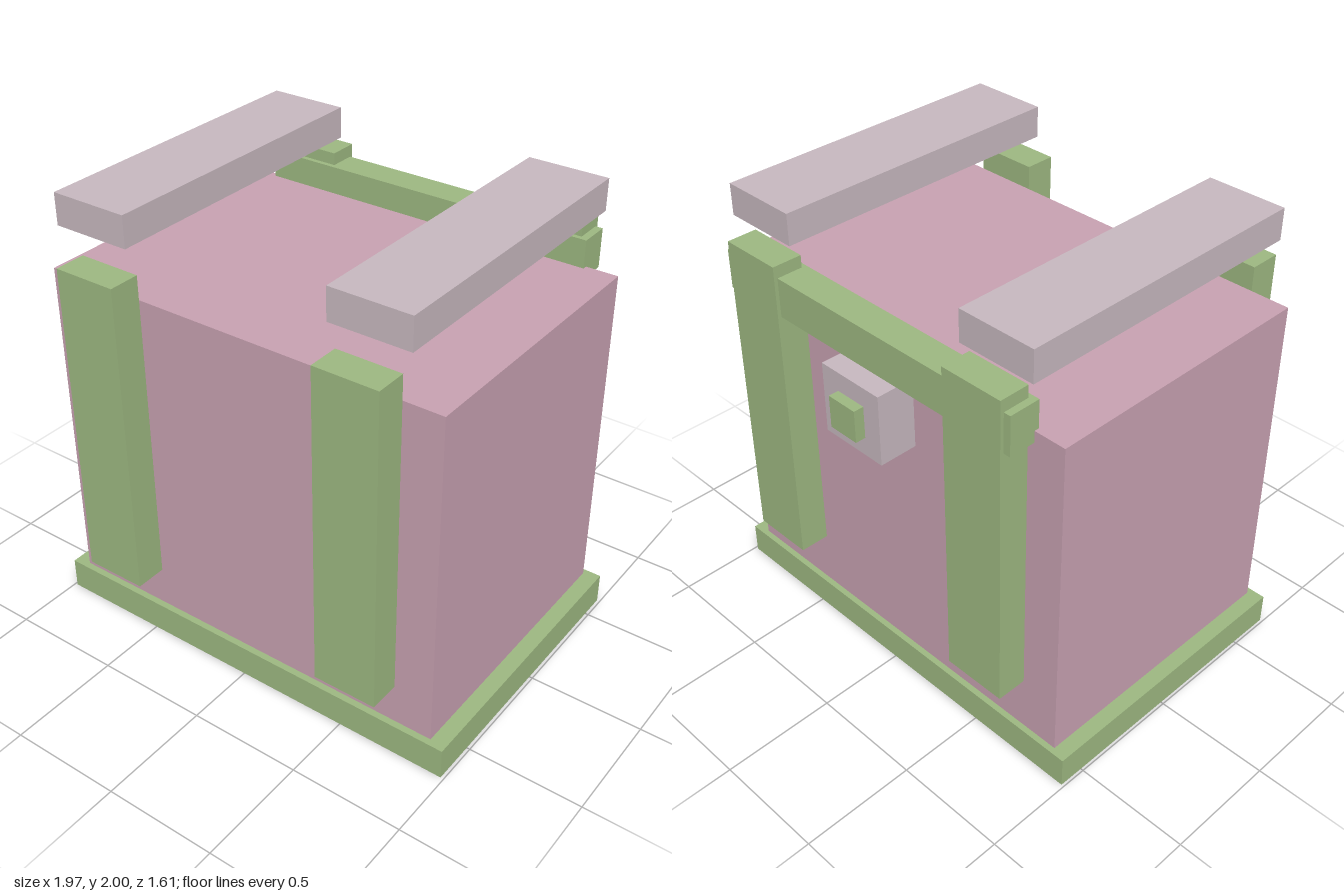
import * as THREE from 'three';

const material = (name, color) => {
  const m = new THREE.MeshStandardMaterial({ color });
  m.name = name;
  return m;
};

export function createModel() {
  const pink = material('dusty pink', 0xc9a2b2);
  const green = material('sage green', 0x9eb982);
  const grey = material('pale mauve grey', 0xc8b9c0);
  const model = new THREE.Group();
  model.name = 'backpack';

  // Box given by its [min, max] extent on each axis
  const block = (name, mat, [x0, x1], [y0, y1], [z0, z1]) => {
    const mesh = new THREE.Mesh(new THREE.BoxGeometry(x1 - x0, y1 - y0, z1 - z0), mat);
    mesh.position.set((x0 + x1) / 2, (y0 + y1) / 2, (z0 + z1) / 2);
    mesh.name = name;
    model.add(mesh);
  };

  // Main bag on its base
  block('base', green, [-0.988, 0.986], [0, 0.14], [-0.613, 0.693]);
  block('body', pink, [-0.92, 0.915], [0.14, 1.63], [-0.587, 0.664]);

  // Straps on the front and back, with a floating shoulder pad above each pair
  const sides = [
    { side: 'right', strap: [-0.747, -0.464], pad: [-0.814, -0.464] },
    { side: 'left', strap: [0.46, 0.742], pad: [0.46, 0.81] },
  ];
  for (const { side, strap, pad } of sides) {
    block(`${side}FrontStrap`, green, strap, [0.32, 1.736], [0.664, 0.803]);
    block(`${side}BackStrap`, green, strap, [0.39, 1.806], [-0.72, -0.587]);
    block(`${side}ShoulderPad`, grey, pad, [1.863, 2], [-0.635, 0.713]);
  }

  // Bar joining the back straps
  block('crossbar', green, [-0.778, 0.774], [1.58, 1.752], [-0.704, -0.566]);

  // Clasp and its button
  block('clasp', grey, [-0.16, 0.155], [1.228, 1.54], [-0.757, -0.587]);
  block('claspButton', green, [-0.074, 0.069], [1.312, 1.455], [-0.802, -0.757]);

  return model;
}
